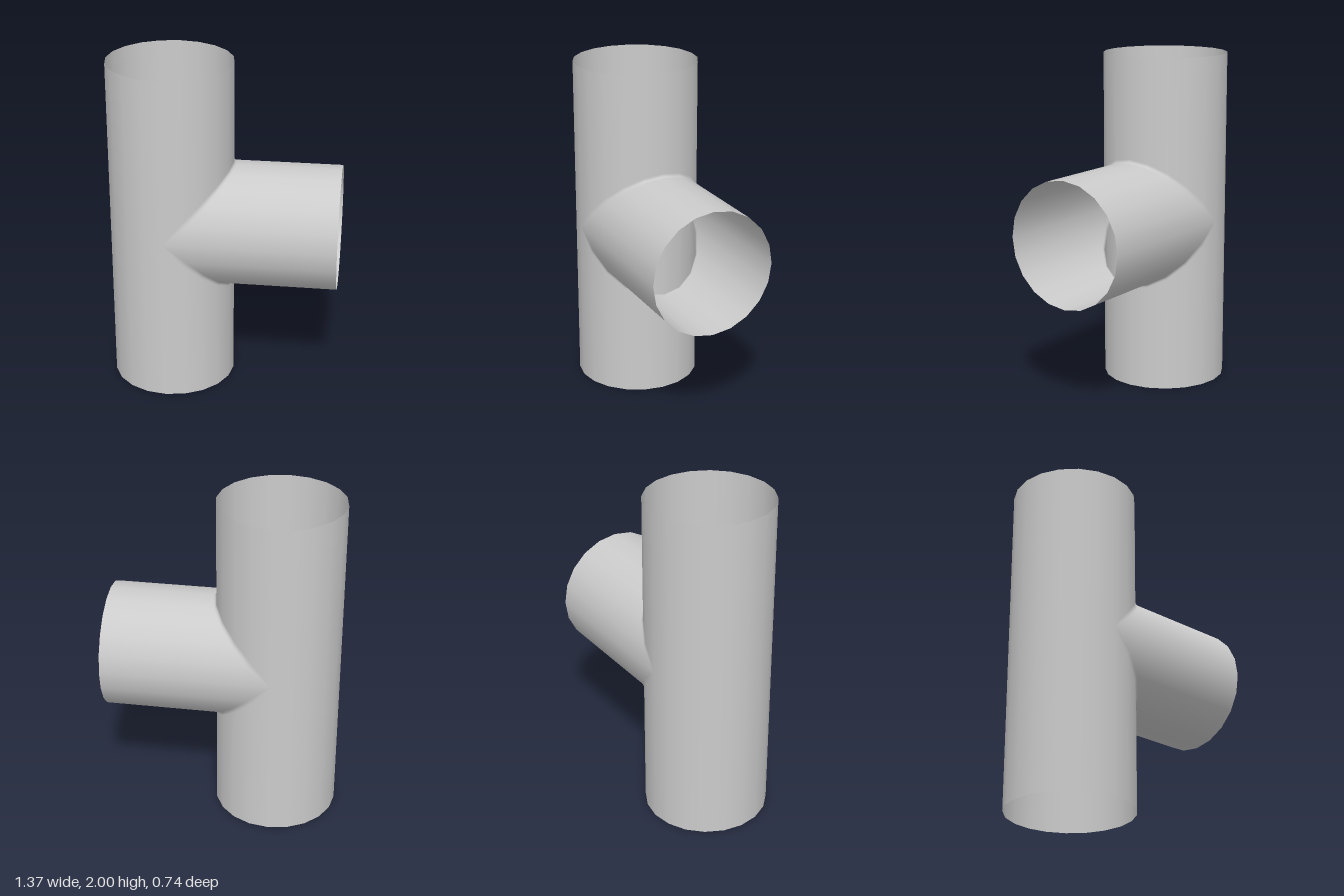
import * as THREE from 'three';

const R = 0.371;            // radius of both pipes
const CX = -0.316;          // axis of the upright pipe
const CY = 1.008;           // axis height of the side branch
const END = 0.686;          // open end of the branch
const H = 2;                // height of the upright pipe
const STEPS = 10;           // facets per half turn
const FILLET = 0.022;

const material = new THREE.MeshStandardMaterial({ color: 0xcccccc, side: THREE.DoubleSide });

// Smooth surface swept over the angles; section(a) returns [point, normal] pairs
function sheet(name, from, to, section, flip = false) {
  const pos = [], nor = [], idx = [];
  let rows = 0;
  for (let i = 0; i <= STEPS; i++) {
    const pairs = section(from + (to - from) * i / STEPS);
    rows = pairs.length;
    for (const [p, n] of pairs) {
      pos.push(p.x, p.y, p.z);
      nor.push(n.x, n.y, n.z);
    }
  }
  for (let i = 0; i < STEPS; i++) {
    for (let j = 0; j < rows - 1; j++) {
      const a = i * rows + j, b = a + rows, c = b + 1, d = a + 1;
      if (flip) idx.push(a, c, b, a, d, c);
      else idx.push(a, b, c, a, c, d);
    }
  }
  const geo = new THREE.BufferGeometry();
  geo.setAttribute('position', new THREE.Float32BufferAttribute(pos, 3));
  geo.setAttribute('normal', new THREE.Float32BufferAttribute(nor, 3));
  geo.setIndex(idx);
  const mesh = new THREE.Mesh(geo, material);
  mesh.name = name;
  return mesh;
}

const V = (x, y, z) => new THREE.Vector3(x, y, z);

export function createModel() {
  const group = new THREE.Group();
  group.name = 'pipeTee';
  const q = Math.PI / 2;

  // Uncut half of the upright pipe, away from the branch
  group.add(sheet('uprightBack', q, 3 * q, a => {
    const n = V(Math.cos(a), 0, Math.sin(a));
    return [H, 0].map(y => [V(CX + R * n.x, y, R * n.z), n]);
  }));

  // Mitred halves above and below the branch axis
  for (const s of [1, -1]) {
    const label = s > 0 ? 'Upper' : 'Lower';
    const seam = a => {
      const c = Math.max(0, Math.cos(a)), z = R * Math.sin(a);
      const f = FILLET * Math.min(1, 4 * c);
      return {
        z,
        nUp: V(c, 0, Math.sin(a)),
        nBranch: V(0, s * c, Math.sin(a)),
        up: V(CX + R * c, CY + s * (R * c + f), z),
        corner: V(CX + R * c, CY + s * R * c, z),
        out: V(CX + R * c + f, CY + s * R * c, z),
      };
    };

    // Upright pipe, cut where the branch enters
    group.add(sheet('uprightFront' + label, -q, q, a => {
      const k = seam(a);
      return [[V(k.up.x, s > 0 ? H : 0, k.z), k.nUp], [k.up, k.nUp]];
    }, s < 0));

    // Small rounded blend along the joint
    group.add(sheet('jointFillet' + label, -q, q, a => {
      const k = seam(a);
      const curve = new THREE.QuadraticBezierCurve3(k.up, k.corner, k.out);
      return [0, 0.25, 0.5, 0.75, 1].map(t =>
        [curve.getPoint(t), k.nUp.clone().lerp(k.nBranch, t).normalize()]);
    }, s < 0));

    // Side branch out to its open end
    group.add(sheet('branch' + label, -q, q, a => {
      const k = seam(a);
      return [[k.out, k.nBranch], [V(END, k.out.y, k.z), k.nBranch]];
    }, s < 0));
  }
  return group;
}
